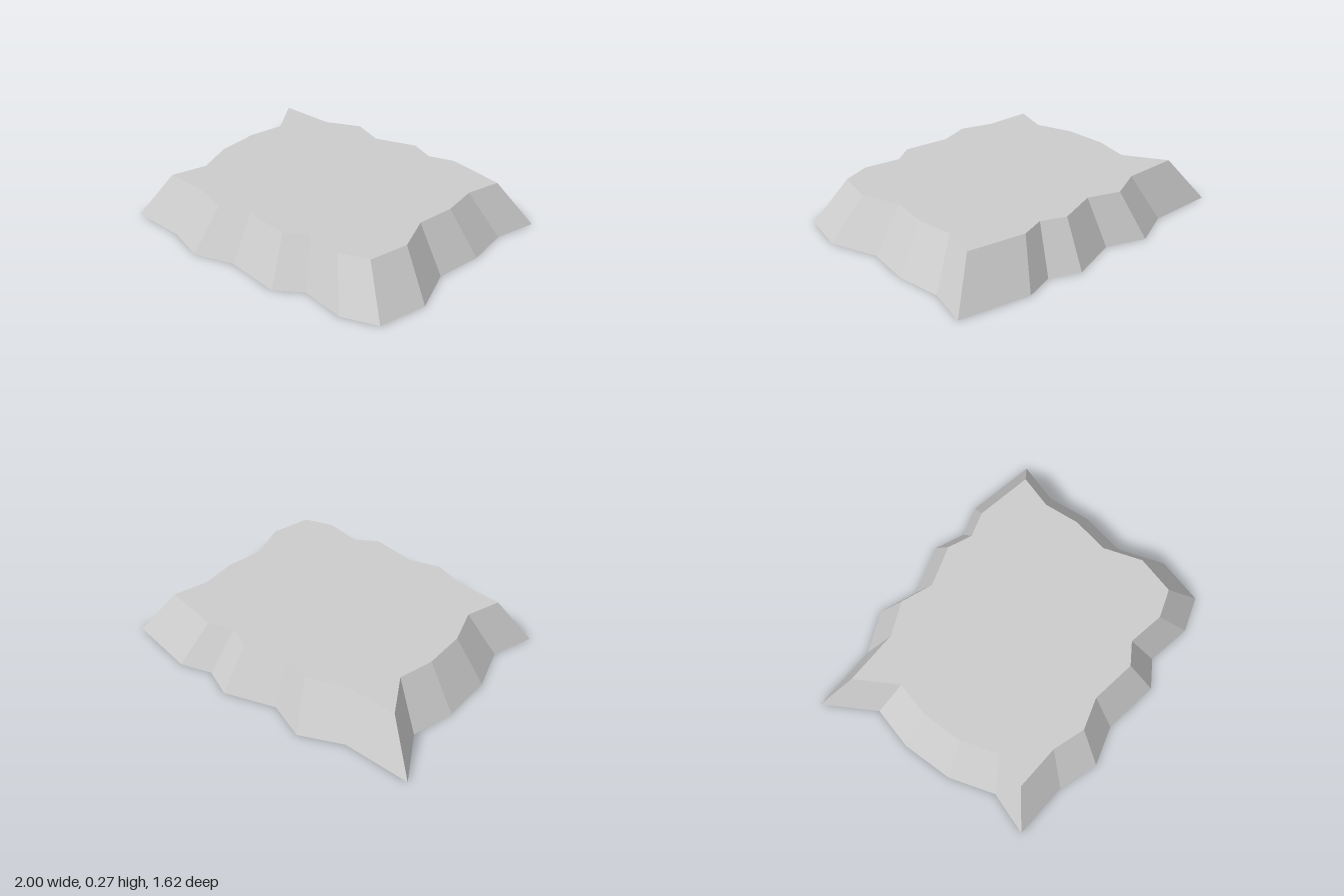
import * as THREE from 'three';

const HEIGHT = 0.27;
const TOP_SCALE = 0.813; // the rim is the footprint shrunk about the centre

// Ragged footprint as [x, z], one run per side, starting at the back right corner
const FOOTPRINT = [
  // back edge
  [-1, -0.735], [-0.585, -0.71], [-0.33, -0.81], [-0.1, -0.71], [0.21, -0.795], [0.385, -0.71], [0.575, -0.76],
  // left edge
  [1, -0.66], [0.915, -0.41], [0.93, -0.14], [0.87, 0.138], [0.955, 0.425],
  // front edge
  [0.87, 0.71], [0.655, 0.772], [0.385, 0.71], [0.225, 0.805], [-0.112, 0.74], [-0.35, 0.8], [-0.585, 0.71],
  // right edge
  [-0.925, 0.677], [-0.83, 0.425], [-0.91, 0.148], [-0.905, -0.167], [-0.83, -0.425],
];

export function createModel() {
  const model = new THREE.Group();

  // Extrude the footprint upwards, then taper the top
  const shape = new THREE.Shape(FOOTPRINT.map(([x, z]) => new THREE.Vector2(x, -z)));
  const geometry = new THREE.ExtrudeGeometry(shape, { depth: HEIGHT, bevelEnabled: false });
  geometry.rotateX(-Math.PI / 2);
  const pos = geometry.attributes.position;
  for (let i = 0; i < pos.count; i++) {
    const top = pos.getY(i) > HEIGHT / 2;
    const s = top ? TOP_SCALE : 1;
    pos.setXYZ(i, pos.getX(i) * s, top ? HEIGHT : 0, pos.getZ(i) * s);
  }
  geometry.computeVertexNormals();

  const plateau = new THREE.Mesh(
    geometry,
    new THREE.MeshStandardMaterial({ color: 0xcccccc, flatShading: true }),
  );
  plateau.name = 'rockPlateau';
  model.add(plateau);
  return model;
}
